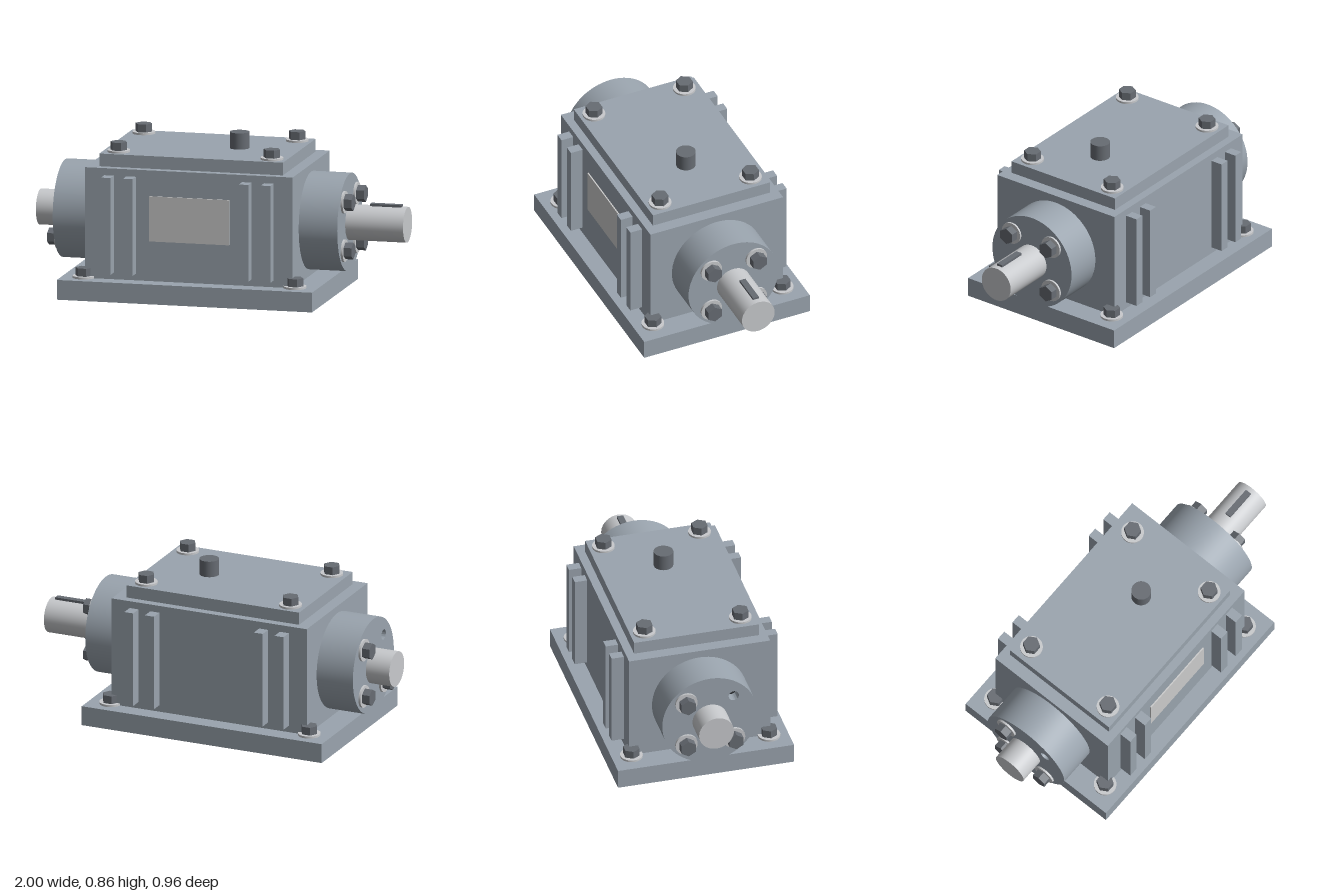
import * as THREE from 'three';
import { toCreasedNormals } from 'three/addons/utils/BufferGeometryUtils.js';

const mat = (color) => new THREE.MeshStandardMaterial({ color });

export function createModel() {
  const model = new THREE.Group();
  const casing = mat(0x9aa4ae), dark = mat(0x676c73), steel = mat(0xc8cacd), plate = mat(0xc6cac9), black = mat(0x2c2f33);

  const add = (name, geometry, material, parent = model) => {
    const mesh = new THREE.Mesh(geometry, material);
    mesh.name = name;
    parent.add(mesh);
    return mesh;
  };
  // Box given by its limits on each axis
  const box = (name, material, x0, x1, y0, y1, z0, z1) =>
    add(name, new THREE.BoxGeometry(x1 - x0, y1 - y0, z1 - z0), material)
      .position.set((x0 + x1) / 2, (y0 + y1) / 2, (z0 + z1) / 2);

  // Hex bolt on a washer, standing along its local +y
  const washerGeo = new THREE.CylinderGeometry(0.06, 0.06, 0.011, 32).translate(0, 0.0055, 0);
  const headGeo = new THREE.CylinderGeometry(0.045, 0.045, 0.044, 6).rotateY(Math.PI / 6).translate(0, 0.032, 0)
    .toNonIndexed();
  headGeo.computeVertexNormals();
  const bolt = (name, x, y, z, rotZ = 0) => {
    const group = new THREE.Group();
    group.name = name;
    add('washer', washerGeo, steel, group);
    add('hexHead', headGeo, dark, group);
    group.position.set(x, y, z);
    group.rotation.z = rotZ;
    model.add(group);
  };

  // Housing
  box('basePlate', casing, -0.785, 0.605, 0, 0.106, -0.48, 0.48);
  box('housing', casing, -0.655, 0.475, 0.106, 0.7, -0.385, 0.385);
  box('lid', casing, -0.59, 0.41, 0.7, 0.768, -0.34, 0.34);
  box('namePlate', plate, -0.305, 0.13, 0.32, 0.562, 0.385, 0.392);
  add('breatherPlug', new THREE.CylinderGeometry(0.052, 0.052, 0.087, 32), dark).position.set(0.085, 0.8115, 0);

  // Cooling ribs on front and back
  for (const x of [-0.525, -0.405, 0.225, 0.345]) {
    box('frontRib', casing, x - 0.026, x + 0.026, 0.142, 0.662, 0.385, 0.453);
    box('backRib', casing, x - 0.026, x + 0.026, 0.142, 0.662, -0.453, -0.385);
  }

  // Bolts of the lid and the base
  for (const s of [-1, 1]) {
    for (const x of [-0.505, 0.33]) bolt('lidBolt', x, 0.768, s * 0.262);
    for (const x of [-0.665, 0.485]) bolt('baseBolt', x, 0.106, s * 0.375);
  }

  // Bearing caps; the right one has an empty bolt hole
  const axisY = 0.4, offset = 0.13, capLength = 0.21;
  const leftCap = new THREE.CylinderGeometry(0.26, 0.26, capLength, 64).rotateZ(Math.PI / 2);
  add('leftBearingCap', leftCap, casing).position.set(0.58, axisY, 0);

  const disc = new THREE.Shape().absarc(0, 0, 0.26, 0, Math.PI * 2);
  disc.holes.push(new THREE.Path().absarc(offset, offset, 0.028, 0, Math.PI * 2, true));
  const rightCap = new THREE.ExtrudeGeometry(disc, { depth: capLength, bevelEnabled: false, curveSegments: 32 })
    .rotateY(-Math.PI / 2);
  add('rightBearingCap', toCreasedNormals(rightCap, 0.6), casing).position.set(-0.655, axisY, 0);
  add('emptyBoltHole', new THREE.CylinderGeometry(0.028, 0.028, 0.15, 24).rotateZ(Math.PI / 2), black)
    .position.set(-0.73, axisY + offset, offset);

  for (const side of [-1, 1]) for (const sy of [-1, 1]) for (const sz of [-1, 1]) {
    if (side < 0 && sy > 0 && sz > 0) continue;
    bolt('capBolt', side < 0 ? -0.865 : 0.685, axisY + sy * offset, sz * offset, -side * Math.PI / 2);
  }

  // Through shaft with its key
  add('shaft', new THREE.CylinderGeometry(0.095, 0.095, 2, 48).rotateZ(Math.PI / 2), steel).position.set(0, axisY, 0);
  box('shaftKey', dark, 0.8, 0.97, 0.47, 0.506, -0.017, 0.017);

  return model;
}
